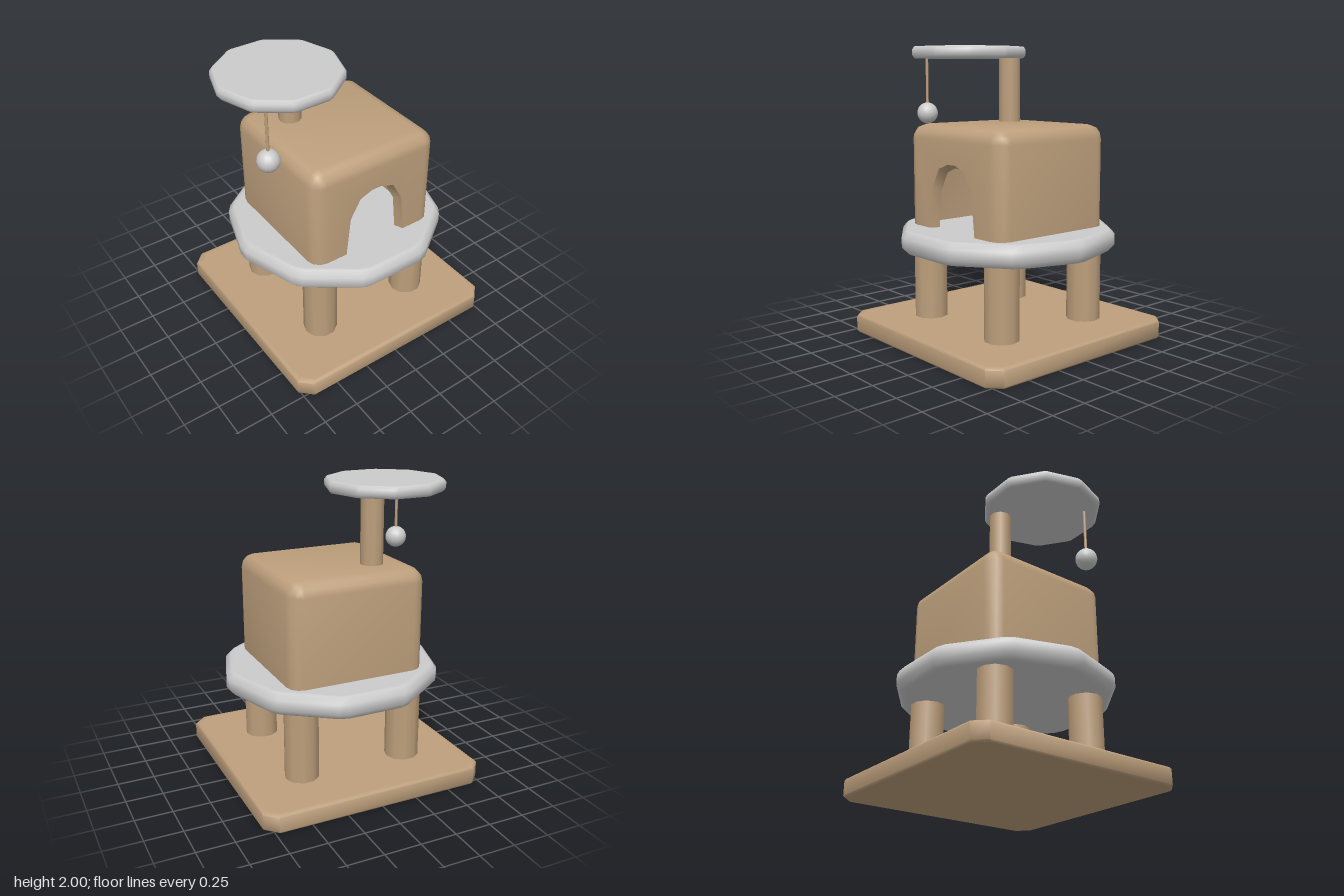
import * as THREE from 'three';
import { mergeGeometries, mergeVertices, toCreasedNormals } from 'three/addons/utils/BufferGeometryUtils.js';

const ZC = -0.02; // centre line of base, platform and house
const tan = new THREE.MeshStandardMaterial({ color: 0xbd9f7c });
const grey = new THREE.MeshStandardMaterial({ color: 0xcccccc });

// Skin a list of rings (arrays of [x, y, z]) with quads
function loft(rings, closed) {
  const n = rings[0].length, index = [];
  for (let i = 0; i < rings.length - 1; i++) {
    for (let j = 0; j < (closed ? n : n - 1); j++) {
      const k = (j + 1) % n;
      const a = i * n + j, b = i * n + k, c = a + n, d = b + n;
      index.push(a, b, d, a, d, c);
    }
  }
  const g = new THREE.BufferGeometry();
  g.setAttribute('position', new THREE.Float32BufferAttribute(rings.flat(2), 3));
  g.setIndex(index);
  return g;
}

// Regular polygon with blunted corners, as [x, z] points
function bluntPolygon(sides, radius, start, blunt) {
  const at = (i) => {
    const a = start + (i / sides) * Math.PI * 2;
    return new THREE.Vector2(Math.sin(a) * radius, Math.cos(a) * radius);
  };
  const pts = [];
  for (let i = 0; i < sides; i++) {
    pts.push(at(i).lerp(at(i - 1), blunt), at(i).lerp(at(i + 1), blunt));
  }
  return pts;
}

// Flat slab with softened rims; inset is a fraction of the outline
function slab(outline, height, inset, chamfer) {
  const rim = 1 - inset, flat = rim - 0.03;
  const lower = [[0, 0], [flat, 0], [rim, 0], [1, chamfer]];
  const upper = lower.map(([s, y]) => [s, height - y]).reverse();
  const rings = [...lower, ...upper].map(([s, y]) => outline.map((p) => [p.x * s, y, p.y * s]));
  return toCreasedNormals(loft(rings, true), 1);
}

// Arched doorway outline from -z to +z, as [z, y] points
function arch(halfWidth, top, y0) {
  const half = [[1, y0], [0.86, top - 0.165], [0.55, top - 0.035], [0.17, top]];
  const right = half.map(([f, y]) => [f * halfWidth, y]);
  return [...right.map(([z, y]) => [-z, y]), ...right.reverse()];
}

// Rounded box open at the bottom, with a doorway in its +x end
function houseShell(hx, hz, top, y0, r, door, flip) {
  const steps = 3;
  const profile = (x, inset) => {
    const rr = r - inset, pts = [[x, y0, -hz + inset]];
    for (const side of [-1, 1]) {
      for (let i = 0; i <= steps; i++) {
        const a = ((side < 0 ? i : steps - i) / steps) * Math.PI / 2;
        pts.push([x, top - r + rr * Math.sin(a), side * (hz - r + rr * Math.cos(a))]);
      }
    }
    pts.push([x, y0, hz - inset]);
    return pts;
  };
  const rings = [];
  for (const side of [-1, 1]) {
    for (let i = 0; i <= steps; i++) {
      const a = ((side < 0 ? steps - i : i) / steps) * Math.PI / 2;
      rings.push(profile(side * (hx - r + r * Math.sin(a)), r * (1 - Math.cos(a))));
    }
  }
  const w = hz - r, h = top - r;
  const end = (notch, side) => {
    const pts = [[-w, y0], ...notch, [w, y0], [w, h], [-w, h]];
    const g = new THREE.ShapeGeometry(new THREE.Shape(pts.map((p) => new THREE.Vector2(...p))));
    g.deleteAttribute('uv');
    g.deleteAttribute('normal');
    return g.rotateY(side * Math.PI / 2).translate(side * hx, 0, 0);
  };
  const g = mergeVertices(mergeGeometries([loft(rings, false), end(door, 1), end([], -1)]));
  if (flip) {
    const ix = g.index.array;
    for (let i = 0; i < ix.length; i += 3) [ix[i], ix[i + 1]] = [ix[i + 1], ix[i]];
  }
  return toCreasedNormals(g, 0.8);
}

export function createModel() {
  const root = new THREE.Group();
  const add = (name, geometry, material, x, y, z, parent = root) => {
    const mesh = new THREE.Mesh(geometry, material);
    mesh.name = name;
    mesh.position.set(x, y, z);
    parent.add(mesh);
  };
  // Upright ten-sided post from y0 to y1
  const post = (name, r, x, z, y0, y1) =>
    add(name, new THREE.CylinderGeometry(r, r, y1 - y0, 10), tan, x, (y0 + y1) / 2, z);

  // Square base with cut corners
  const baseOutline = bluntPolygon(4, 0.787 * Math.SQRT2, Math.PI / 4, 0.05);
  add('base', slab(baseOutline, 0.125, 0.012, 0.012), tan, 0, 0, ZC);

  // Four legs
  for (const sx of [-1, 1]) {
    for (const sz of [-1, 1]) post('leg', 0.117, sx * 0.375, ZC + sz * 0.38, 0.11, 0.65);
  }

  // Ten-sided middle platform
  add('platform', slab(bluntPolygon(10, 0.755, 0, 0.08), 0.15, 0.05, 0.04), grey, 0, 0.63, ZC);

  // Hollow house with an arched doorway on its left side
  const house = new THREE.Group();
  house.name = 'house';
  root.add(house);
  const y0 = 0.74, wall = 0.06, hx = 0.48, hz = 0.483, top = 1.475;
  const outerDoor = arch(0.24, 1.225, y0), innerDoor = arch(0.215, 1.197, y0);
  add('houseOutside', houseShell(hx, hz, top, y0, 0.095, outerDoor, false), tan, 0, 0, ZC, house);
  add('houseInside', houseShell(hx - wall, hz - wall, top - wall, y0, 0.05, innerDoor, true), tan, 0, 0, ZC, house);
  const doorRings = [[outerDoor, hx], [innerDoor, hx - wall]].map(([d, x]) => d.map(([z, y]) => [x, y, z]));
  add('doorway', toCreasedNormals(loft(doorRings, false), 0.8), tan, 0, 0, ZC, house);

  // Upper post and perch
  post('upperPost', 0.077, -0.21, 0.19, 1.46, 1.94);
  add('perch', slab(bluntPolygon(10, 0.417, 0, 0.06), 0.08, 0.04, 0.022), grey, 0, 1.92, 0.393);

  // Hanging toy
  post('string', 0.01, 0.207, 0.61, 1.58, 1.93);
  add('ball', new THREE.SphereGeometry(0.075, 16, 12), grey, 0.207, 1.532, 0.61);

  return root;
}
